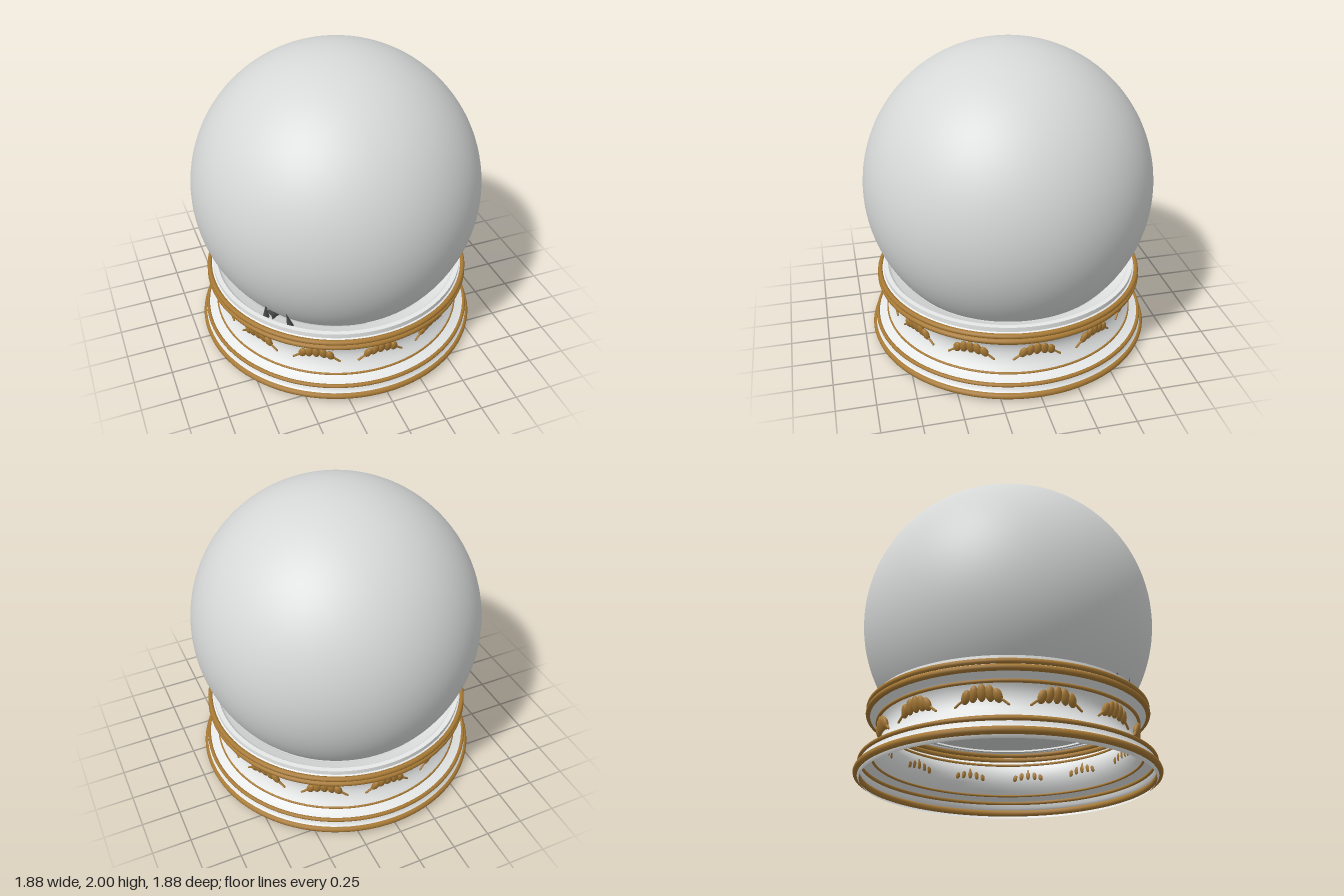
import * as THREE from 'three';

const mat = (name, color, side = THREE.FrontSide) => {
  const m = new THREE.MeshStandardMaterial({ color, side });
  m.name = name;
  return m;
};

export function createModel() {
  const glass = mat('frosted white', 0xd6d8d7, THREE.DoubleSide);
  const white = mat('base white', 0xebecec, THREE.DoubleSide);
  const gold = mat('gold', 0xa87a35);
  const dark = mat('dark grey', 0x4a4c4c);

  const model = new THREE.Group();
  model.name = 'snowGlobe';
  const add = (name, geometry, material, parent = model) => {
    const mesh = new THREE.Mesh(geometry, material);
    mesh.name = name;
    parent.add(mesh);
    return mesh;
  };

  // Globe, open where it sits in the base
  const R = 0.94, centreY = 1.06, floorY = 0.42;
  const cut = Math.acos((floorY - centreY) / R);
  add('globe', new THREE.SphereGeometry(R, 96, 64, 0, Math.PI * 2, 0, cut), glass).position.y = centreY;

  // Hollow turned base: each section is lathed on its own to keep crisp edges
  const section = (name, pts) =>
    add(name, new THREE.LatheGeometry(pts.map(([r, y]) => new THREE.Vector2(r, y)), 96), white);
  section('foot', [[0.9, 0], [0.915, 0.02], [0.92, 0.06]]);
  section('footStep', [[0.92, 0.06], [0.905, 0.075], [0.9, 0.11]]);
  section('footShoulder', [[0.9, 0.115], [0.87, 0.125], [0.84, 0.14]]);
  section('waist', [[0.84, 0.14], [0.815, 0.175], [0.795, 0.215], [0.785, 0.255],
    [0.785, 0.295], [0.795, 0.33], [0.81, 0.355]]);
  section('collar', [[0.81, 0.355], [0.825, 0.375], [0.86, 0.395], [0.87, 0.41]]);
  section('collarBand', [[0.87, 0.41], [0.87, 0.45]]);
  section('collarTop', [[0.87, 0.45], [0.845, 0.462]]);
  section('lip', [[0.845, 0.462], [0.845, 0.492]]);
  section('lipTop', [[0.845, 0.492], [0.815, 0.492]]);
  section('cradle', [[0.815, 0.492], [0.79, 0.465], [0.74, 0.455], [0.69, floorY]]);

  // Gold rings: height, radius, thickness
  const rings = [[0.038, 0.918, 0.022], [0.108, 0.904, 0.013], [0.143, 0.834, 0.008],
    [0.355, 0.812, 0.011], [0.41, 0.868, 0.019], [0.447, 0.868, 0.017]];
  for (const [y, r, t] of rings) {
    const ring = add('goldRing', new THREE.TorusGeometry(r, t, 10, 96), gold);
    ring.rotation.x = Math.PI / 2;
    ring.position.y = y;
  }

  // Twelve garlands around the waist
  const beadGeo = new THREE.SphereGeometry(1, 12, 10);
  const stemGeo = new THREE.CapsuleGeometry(0.007, 0.06, 4, 8);
  for (let i = 0; i < 12; i++) {
    const garland = new THREE.Group();
    garland.name = 'garland';
    garland.rotation.y = i * Math.PI / 6;
    model.add(garland);
    // Beads: sideways offset, height, half height
    for (const [x, y, h] of [[0, 0.292, 0.05], [0.045, 0.287, 0.048], [0.088, 0.273, 0.042]]) {
      for (const s of x ? [1, -1] : [1]) {
        const bead = add('bead', beadGeo, gold, garland);
        bead.scale.set(0.026, h, 0.018);
        bead.position.set(s * x, y, Math.sqrt(0.801 ** 2 - x * x));
        bead.rotation.set(0.25, s * x, s * x * 3);
      }
    }
    for (const s of [1, -1]) {
      const stem = add('stem', stemGeo, gold, garland);
      stem.position.set(s * 0.125, 0.241, 0.79);
      stem.rotation.set(0, s * 0.15, s * 0.9);
    }
  }

  // Floor inside the globe, cut straight along its front left side
  const outline = new THREE.Shape();
  outline.absarc(0, 0, 0.76, 0.78, Math.PI * 2 - 0.78, false);
  const floorGeo = new THREE.ShapeGeometry(outline, 48);
  floorGeo.rotateX(Math.PI / 2);
  floorGeo.rotateY(-Math.PI * 3 / 4);
  add('floor', floorGeo, glass).position.y = 0.435;

  // Bent dark branch under the globe, with tips that pierce it
  const path = new THREE.CurvePath();
  const pts = [[-0.64, 0.47, 0.47], [-0.32, 0.41, 0.2], [-0.33, 0.41, -0.33], [-0.54, 0.48, -0.385]]
    .map((p) => new THREE.Vector3(...p));
  for (let i = 0; i < 3; i++) path.add(new THREE.LineCurve3(pts[i], pts[i + 1]));
  add('branch', new THREE.TubeGeometry(path, 36, 0.035, 8), dark);
  for (const [x, z, tilt] of [[-0.645, 0.452, -0.05], [-0.54, 0.58, 0.2]]) {
    const tip = add('branchTip', new THREE.ConeGeometry(0.026, 0.12, 5), dark);
    tip.position.set(x, 0.51, z);
    tip.rotation.z = tilt;
  }

  return model;
}
